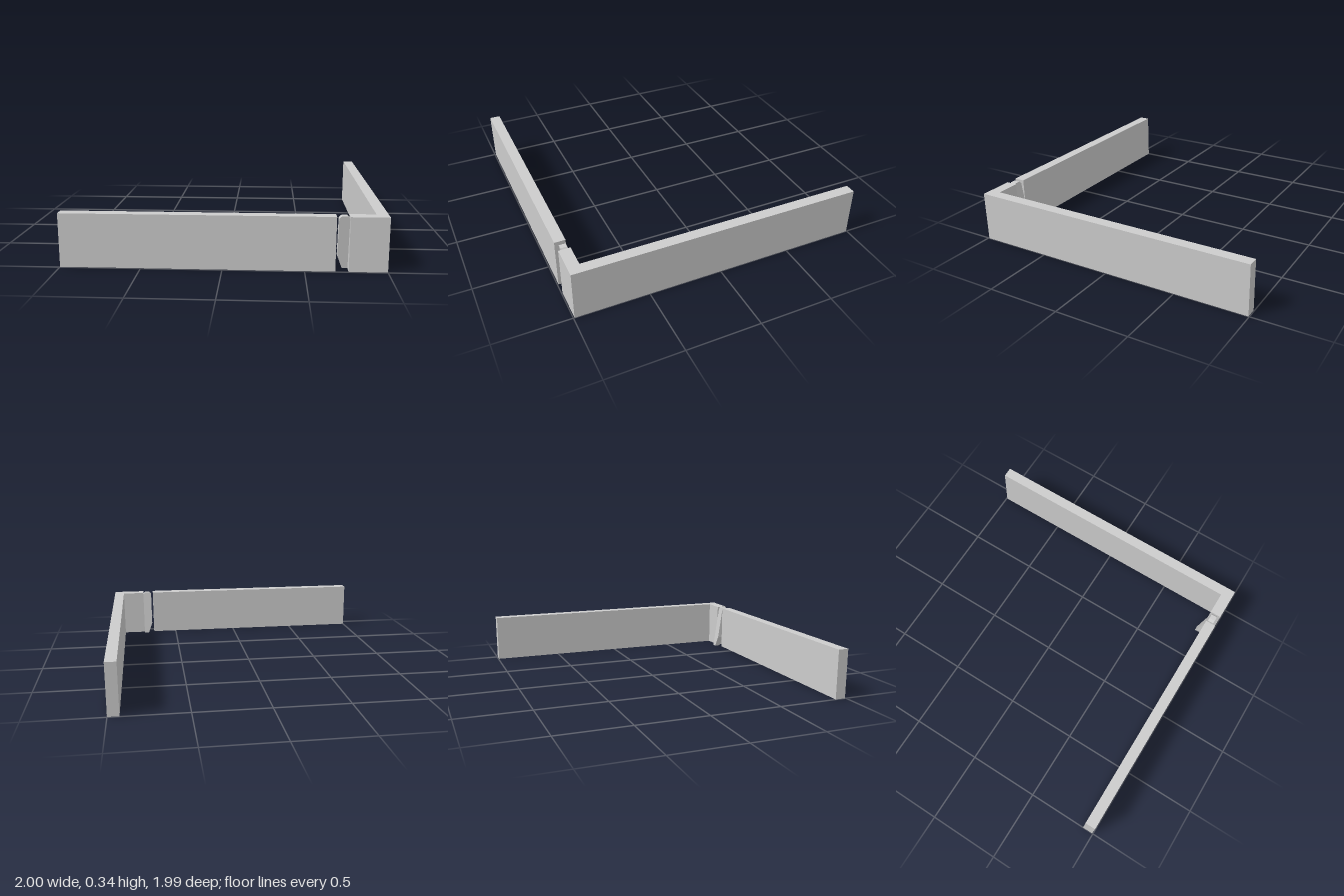
import * as THREE from 'three';

const H = 0.34;
const material = new THREE.MeshStandardMaterial({ color: 0xcccccc, flatShading: true });

// Extrudes a plan outline given as [x, z] points up to the wall height
function wall(name, plan) {
  const shape = new THREE.Shape(plan.map(([x, z]) => new THREE.Vector2(x, -z)));
  const geometry = new THREE.ExtrudeGeometry(shape, { depth: H, bevelEnabled: false });
  geometry.rotateX(-Math.PI / 2);
  const mesh = new THREE.Mesh(geometry, material);
  mesh.name = name;
  return mesh;
}

// Narrow board with clipped corners, leaning forward in the gap
function leaningBoard() {
  const outline = [
    [0.73, 0], [0.765, 0], [0.765, 0.325], [0.75, 0.34],
    [0.717, 0.34], [0.7, 0.325], [0.7, 0.08],
  ].map(([x, y]) => new THREE.Vector2(x, y));
  const geometry = new THREE.ExtrudeGeometry(new THREE.Shape(outline), { depth: 0.043, bevelEnabled: false });
  const p = geometry.attributes.position;
  for (let i = 0; i < p.count; i++) {
    p.setZ(i, p.getZ(i) + 0.88 + 0.05 * (p.getY(i) / H));
  }
  geometry.computeVertexNormals();
  const mesh = new THREE.Mesh(geometry, material);
  mesh.name = 'leaningBoard';
  return mesh;
}

export function createModel() {
  const model = new THREE.Group();
  model.name = 'cornerWall';
  // Straight front wall
  model.add(wall('frontWall', [[-1, 0.92], [-1, 0.993], [0.685, 0.993], [0.685, 0.92]]));
  // L-shaped wall: side run and short front return
  model.add(wall('sideWall', [
    [0.765, 0.915], [0.765, 0.993], [1, 0.993], [1, -0.995], [0.927, -0.995], [0.927, 0.915],
  ]));
  model.add(leaningBoard());
  return model;
}
